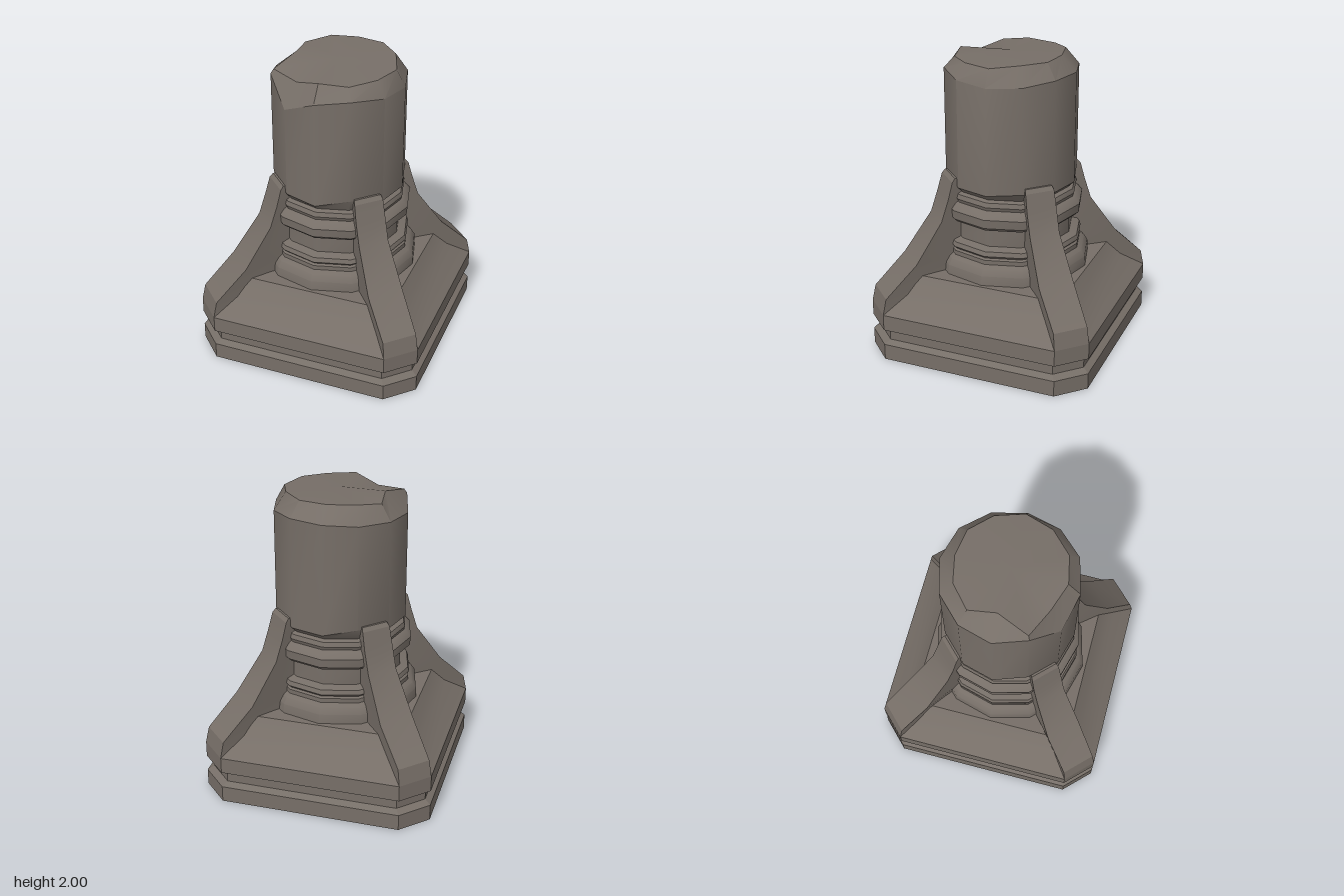
import * as THREE from 'three';
import { toCreasedNormals } from 'three/addons/utils/BufferGeometryUtils.js';

// Closed solid through stacked rings of [x, y, z] points, listed bottom to top.
function loft(rings, crease = 0.3) {
  const pos = [];
  const tri = (...pts) => pts.forEach((p) => pos.push(...p));
  const middle = (ring) => [0, 1, 2].map((a) => ring.reduce((s, p) => s + p[a], 0) / ring.length);
  const n = rings[0].length;
  const last = rings[rings.length - 1];
  const low = middle(rings[0]);
  const high = middle(last);
  high[1] = Math.max(...last.map((p) => p[1]));
  for (let k = 0; k < n; k++) {
    const j = (k + 1) % n;
    tri(low, rings[0][k], rings[0][j]);
    for (let i = 0; i < rings.length - 1; i++) {
      tri(rings[i][k], rings[i + 1][k], rings[i][j]);
      tri(rings[i][j], rings[i + 1][k], rings[i + 1][j]);
    }
    tri(high, last[j], last[k]);
  }
  const geometry = new THREE.BufferGeometry();
  geometry.setAttribute('position', new THREE.Float32BufferAttribute(pos, 3));
  return toCreasedNormals(geometry, crease);
}

// Square ring with cut corners: half width h, flat edge reaching to c.
const cutSquare = (y, h, c) =>
  [[h, -c], [h, c], [c, h], [-c, h], [-h, c], [-h, -c], [-c, -h], [c, -h]].map(([x, z]) => [x, y, z]);

// Twelve-sided ring; radius and height may vary with the corner number.
const SIDES = 12;
const ring = (radius, height) => Array.from({ length: SIDES }, (_, k) => {
  const a = (k / SIDES) * Math.PI * 2;
  const r = radius(k);
  return [Math.cos(a) * r, height(k), Math.sin(a) * r];
});

export function createModel() {
  const model = new THREE.Group();
  model.name = 'brokenColumn';
  const stone = new THREE.MeshStandardMaterial({ color: 0x766e67 });
  stone.name = 'stone';
  const add = (name, geometry) => {
    const mesh = new THREE.Mesh(geometry, stone);
    mesh.name = name;
    model.add(mesh);
    return mesh;
  };

  // Plinth with a groove and a sloped top
  add('plinth', loft([
    [0, 0.77, 0.6], [0.11, 0.77, 0.6], [0.135, 0.73, 0.575], [0.195, 0.73, 0.575],
    [0.22, 0.77, 0.6], [0.33, 0.77, 0.6], [0.44, 0.63, 0.49], [0.555, 0.55, 0.43],
  ].map((row) => cutSquare(...row))));

  // Moulded rings around the foot of the column
  add('moulding', loft([
    [0.54, 0.53], [0.62, 0.525], [0.66, 0.50], [0.68, 0.47], [0.71, 0.47], [0.72, 0.455],
    [0.74, 0.475], [0.77, 0.465], [0.785, 0.41], [0.91, 0.41], [0.915, 0.45], [0.94, 0.475],
    [1.0, 0.48], [1.035, 0.45], [1.045, 0.43], [1.07, 0.44], [1.1, 0.43], [1.11, 0.40], [1.14, 0.40],
  ].map(([y, r]) => ring(() => r, () => y)), 0.55));

  // Shaft with a chipped lower edge and a broken top
  const chipY = [1.15, 1.15, 1.2, 1.15, 1.16, 1.21, 1.15, 1.15, 1.19, 1.15, 1.15, 1.17];
  const rimY = [1.87, 1.88, 1.9, 1.87, 1.77, 1.92, 1.87, 1.88, 1.89, 1.9, 1.9, 1.88];
  const topR = [0.38, 0.37, 0.37, 0.36, 0.34, 0.42, 0.29, 0.36, 0.35, 0.34, 0.36, 0.36];
  const topY = [1.98, 1.98, 1.97, 1.98, 1.93, 1.95, 2, 1.98, 2, 2, 2, 2];
  add('shaft', loft([
    ring(() => 0.4, () => 1.11),
    ring(() => 0.44, (k) => chipY[k]),
    ring(() => 0.44, (k) => rimY[k]),
    ring((k) => topR[k], (k) => topY[k]),
  ], 0.55));

  // Four curved corner buttresses; a and b place the two outer edges
  const buttress = loft([
    [0.33, 0.77, 0.6], [0.44, 0.75, 0.585], [0.65, 0.6, 0.43],
    [0.92, 0.455, 0.31], [1.07, 0.42, 0.275], [1.185, 0.395, 0.255], [1.21, 0.375, 0.245],
  ].map(([y, a, b]) => [[a, y, b], [b, y, a], [0.14, y, 0.21], [0.21, y, 0.14]]));
  for (let i = 0; i < 4; i++) add('buttress' + (i + 1), buttress).rotation.y = (i * Math.PI) / 2;

  return model;
}
